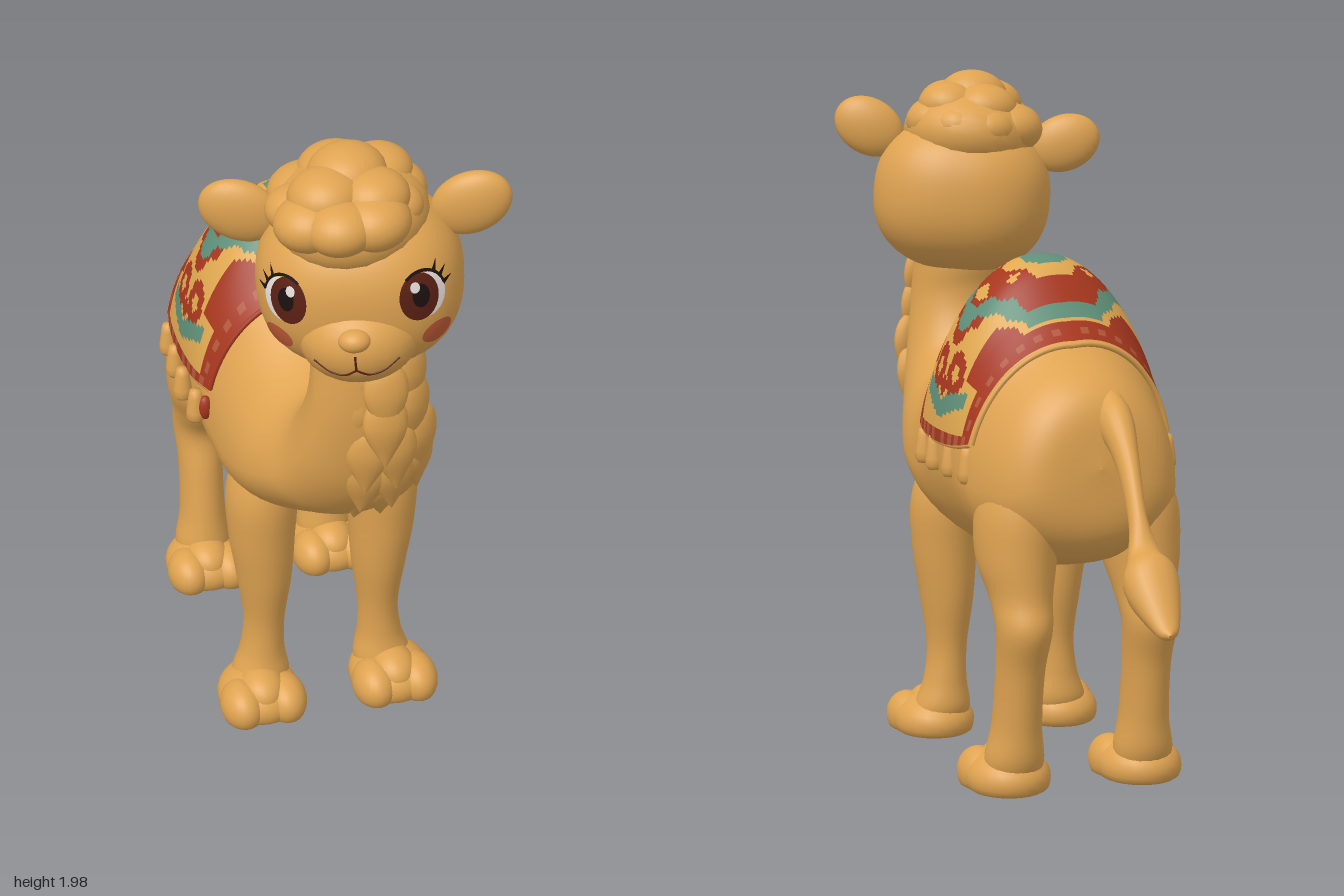
import * as THREE from 'three';

const mat = (name, color, extra = {}) => Object.assign(new THREE.MeshStandardMaterial({ color, ...extra }), { name });
const V = (x, y, z) => new THREE.Vector3(x, y, z);

// Sections are [topZ, topY, bottomZ, bottomY, halfWidth, centreX]; k is where the widest point lies
function skin(sections, k = 0.5) {
  const tops = new THREE.CatmullRomCurve3(sections.map(s => V(s[5] || 0, s[1], s[0])), false, 'catmullrom', 0.5);
  const bots = new THREE.CatmullRomCurve3(sections.map(s => V(s[4], s[3], s[2])), false, 'catmullrom', 0.5);
  const frame = t => {
    const a = tops.getPoint(t), b = bots.getPoint(t);
    const x = a.x, w = Math.max(b.x, 0.002);
    a.x = b.x = x;
    return { a, b, w, c: b.clone().lerp(a, k) };
  };
  const point = (t, ang, lift = 0) => {
    const { a, b, w, c } = frame(t);
    const co = Math.cos(ang), axis = co > 0 ? a.sub(c) : c.clone().sub(b);
    axis.setLength(axis.length() + lift);
    return c.addScaledVector(axis, co).add(V((w + lift) * Math.sin(ang), 0, 0));
  };
  return { frame, point };
}

function loft(sections, k, rings = 40, sides = 32) {
  const { point } = skin(sections, k), pos = [], idx = [];
  for (let i = 0; i <= rings; i++)
    for (let j = 0; j < sides; j++) pos.push(...point(i / rings, (j / sides) * Math.PI * 2).toArray());
  for (let i = 0; i < rings; i++)
    for (let j = 0; j < sides; j++) {
      const n = (j + 1) % sides, a = i * sides + j, d = i * sides + n;
      idx.push(a, a + sides, d, a + sides, d + sides, d);
    }
  return build(pos, idx);
}

function build(pos, idx) {
  const g = new THREE.BufferGeometry();
  g.setAttribute('position', new THREE.Float32BufferAttribute(pos, 3));
  g.setIndex(idx);
  g.computeVertexNormals();
  return g;
}

// Torso and neck, from rump to head
const TORSO = [
  [-0.512, 0.945, -0.512, 0.94, 0.003], [-0.485, 1.1, -0.5, 0.76, 0.17], [-0.42, 1.18, -0.42, 0.67, 0.255],
  [-0.3, 1.25, -0.28, 0.63, 0.3], [-0.21, 1.335, -0.2, 0.615, 0.308], [-0.11, 1.445, -0.1, 0.605, 0.312],
  [0, 1.472, 0, 0.6, 0.312], [0.1, 1.41, 0.1, 0.6, 0.308], [0.2, 1.29, 0.2, 0.61, 0.298],
  [0.32, 1.2, 0.32, 0.635, 0.288], [0.42, 1.15, 0.46, 0.7, 0.272], [0.5, 1.14, 0.6, 0.78, 0.24],
  [0.565, 1.18, 0.72, 0.86, 0.205], [0.6, 1.25, 0.81, 1.0, 0.175], [0.61, 1.32, 0.85, 1.2, 0.15],
  [0.6, 1.4, 0.85, 1.36, 0.14], [0.62, 1.48, 0.83, 1.48, 0.135]];
const FRONT_LEG = [
  [0.42, 0.92, 0.24, 0.92, 0.05, 0.15], [0.46, 0.74, 0.22, 0.74, 0.1, 0.174], [0.455, 0.58, 0.235, 0.58, 0.096, 0.178],
  [0.44, 0.43, 0.25, 0.43, 0.08, 0.172], [0.415, 0.28, 0.275, 0.28, 0.06, 0.172], [0.415, 0.17, 0.275, 0.17, 0.065, 0.178],
  [0.43, 0.09, 0.27, 0.09, 0.085, 0.185], [0.42, 0.04, 0.29, 0.04, 0.08, 0.19]];
const HIND_LEG = [
  [-0.24, 1.0, -0.42, 1.0, 0.05, 0.15], [-0.17, 0.83, -0.465, 0.83, 0.115, 0.172], [-0.18, 0.68, -0.47, 0.68, 0.112, 0.185],
  [-0.255, 0.57, -0.475, 0.57, 0.088, 0.185], [-0.31, 0.48, -0.497, 0.48, 0.078, 0.188], [-0.29, 0.36, -0.46, 0.36, 0.068, 0.19],
  [-0.265, 0.2, -0.435, 0.2, 0.07, 0.192], [-0.25, 0.1, -0.425, 0.1, 0.085, 0.195], [-0.26, 0.04, -0.4, 0.04, 0.075, 0.195]];
const TAIL = [
  [-0.998, 0.58, -0.995, 0.568, 0.005, -0.01], [-0.965, 0.615, -0.95, 0.56, 0.036, -0.015], [-0.86, 0.75, -0.81, 0.61, 0.078, -0.02],
  [-0.79, 0.775, -0.75, 0.7, 0.05, -0.025], [-0.73, 0.855, -0.685, 0.81, 0.026, -0.03], [-0.62, 1.0, -0.57, 0.935, 0.032, -0.045],
  [-0.52, 1.11, -0.47, 1.0, 0.05, -0.05], [-0.4, 1.17, -0.38, 0.98, 0.06, -0.05]];

// Woven pattern: u runs along the back (-1..1), s from crest (0) to hem (1)
const [RED, TEAL, TAN, FADED] = [0, 1, 2, 3];
function weave(u, s) {
  u = Math.abs(u);
  if (u > 0.76 || s > 0.95) {
    const fleck = u > 0.84 && u < 0.93 && Math.floor(s * 15) % 2;
    return fleck || (s > 0.95 && Math.floor(u * 9) % 2) ? FADED : RED;
  }
  const r = Math.max(u * 0.85, u * 0.5 + s) + 0.015 * Math.cos(u * 30);
  if (r < 0.16) return TEAL;
  if (r < 0.27) return TAN;
  if (r < 0.5) return u + Math.abs(s - 0.4) * 3 < 0.16 || Math.abs(u - 0.22) + Math.abs(s - 0.24) < 0.05 ? TAN : RED;
  if (r < 0.61) return TEAL;
  if (r < 0.67) return u < 0.3 ? RED : TAN;
  if (Math.abs(s - (0.885 - 0.14 * u)) < 0.036 && u < 0.62) return TEAL;
  if (Math.abs(Math.hypot(u - 0.25, (s - 0.74) * 2.2) - 0.14) < 0.06) return RED;
  if (u + Math.abs(s - 0.8) * 4 < 0.16) return RED;
  return u > 0.5 && s < 0.72 ? RED : TAN;
}

export function createModel() {
  const two = { side: THREE.DoubleSide };
  const fur = mat('fur', 0xdfa351), brown = mat('eyeBrown', 0x5a2014), white = mat('eyeWhite', 0xe6e0dc);
  const black = mat('lashBlack', 0x1c1010), blush = mat('blush', 0xc45c38);
  const cloth = [mat('clothRed', 0xa6361e, two), mat('clothTeal', 0x5f8f78, two), mat('clothTan', 0xe0a850, two), mat('clothFadedRed', 0xb0573a, two)];
  const root = new THREE.Group();
  root.name = 'camel';
  const add = (parent, name, geo, material) => {
    const m = new THREE.Mesh(geo, material);
    m.name = name;
    parent.add(m);
    return m;
  };
  const blob = (parent, name, [x, y, z], [rx, ry, rz], material = fur) => {
    const m = add(parent, name, new THREE.SphereGeometry(1, 24, 18), material);
    m.position.set(x, y, z);
    m.scale.set(rx, ry, rz);
    return m;
  };

  add(root, 'body', loft(TORSO, 0.38, 96, 44), fur);
  add(root, 'tail', loft(TAIL, 0.5, 48, 20), fur);

  // Legs with padded two-toed feet, flat underneath
  const footPart = (name, x, y, z, rx, ry, rz) => {
    const g = new THREE.SphereGeometry(1, 24, 18).scale(rx, ry, rz).translate(x, y, z), p = g.attributes.position;
    for (let i = 0; i < p.count; i++) p.setY(i, Math.max(p.getY(i), 0));
    g.computeVertexNormals();
    add(root, name, g, fur);
  };
  for (const side of [-1, 1])
    for (const [name, secs, fz] of [['frontLeg', FRONT_LEG, 0.4], ['hindLeg', HIND_LEG, -0.285]]) {
      add(root, name, loft(secs.map(s => [...s.slice(0, 5), s[5] * side]), 0.5, 44, 28), fur);
      const x = 0.2 * side;
      footPart('footPad', x, 0.035, fz - 0.01, 0.122, 0.085, 0.135);
      for (const t of [-1, 1]) footPart('toe', x + t * 0.064, 0.04, fz + 0.045, 0.064, 0.072, 0.09);
      footPart('instep', x, 0.07, fz + 0.02, 0.07, 0.065, 0.09);
    }

  // Blanket following the hump, narrowing towards the hems and lying slightly askew
  const torso = skin(TORSO, 0.38), nu = 52, ns = 136, pos = [], lists = [[], [], [], []];
  const onBlanket = (u, s, lift = 0.016) => {
    const t = (5.65 + 2.6 * u * (1 - 0.14 * Math.abs(s)) - 0.2 * s) / 16, { a, c } = torso.frame(t);
    const hem = 0.965 + 0.02 * u * u;
    return torso.point(t, s * Math.acos((hem - c.y) / (a.y - c.y)), lift);
  };
  for (let i = 0; i <= nu; i++)
    for (let j = 0; j <= ns; j++) pos.push(...onBlanket(i / nu * 2 - 1, j / ns * 2 - 1).toArray());
  for (let i = 0; i < nu; i++)
    for (let j = 0; j < ns; j++) {
      const a = i * (ns + 1) + j, b = a + ns + 1;
      lists[weave((i + 0.5) / nu * 2 - 1, Math.abs((j + 0.5) / ns * 2 - 1))].push(a, b, a + 1, b, b + 1, a + 1);
    }
  const blanket = build(pos, lists.flat());
  let start = 0;
  lists.forEach((l, i) => { blanket.addGroup(start, l.length, i); start += l.length; });
  add(root, 'blanket', blanket, cloth);

  // Piping around the blanket, red in front
  const piping = (f, material) => {
    const pts = Array.from({ length: 25 }, (_, i) => f(i / 12 - 1));
    add(root, 'piping', new THREE.TubeGeometry(new THREE.CatmullRomCurve3(pts), 60, 0.008, 8), material);
  };
  piping(q => onBlanket(1, q, 0.008), cloth[0]);
  piping(q => onBlanket(-1.02, q, 0.008), fur);
  for (const e of [-1, 1]) piping(q => onBlanket(q, e, 0.008), fur);

  // Tassels along each hem, with one red knot
  const bell = [[0.001, 0.05], [0.016, 0.047], [0.021, 0.025], [0.027, -0.02], [0.028, -0.04], [0.019, -0.052], [0.001, -0.054]];
  for (const side of [-1, 1])
    for (const z of [0.14, 0.015, -0.11, -0.235]) {
      const m = add(root, 'tassel', new THREE.LatheGeometry(bell.map(p => new THREE.Vector2(...p)).reverse(), 16), fur);
      m.position.set(side * (0.325 - Math.abs(z) * 0.07) - 0.012, 0.925, z + (side < 0 ? 0.04 : 0));
    }
  blob(root, 'redKnot', [-0.303, 0.92, 0.195], [0.022, 0.038, 0.02], cloth[0]);

  // Shaggy chest locks pointing down
  const lockShape = [[0.001, -0.11], [0.02, -0.07], [0.045, -0.015], [0.052, 0.03], [0.04, 0.08], [0.001, 0.12]];
  const lockGeo = new THREE.LatheGeometry(new THREE.SplineCurve(lockShape.map(p => new THREE.Vector2(...p))).getPoints(16), 16);
  const rows = [[1.3, 0.86, 3, 0.08, -0.12], [1.2, 0.86, 3, 0.09, -0.06], [1.09, 0.835, 4, 0.12, 0], [1.0, 0.805, 4, 0.12, 0.12], [0.92, 0.745, 4, 0.1, 0.35]];
  for (const [y, z, n, half, tilt] of rows)
    for (let i = 0; i < n; i++) {
      const q = i / (n - 1) * 2 - 1, m = add(root, 'chestLock', lockGeo, fur);
      m.position.set(0.03 + q * half, y + 0.03 * Math.abs(q), z - 0.05 * q * q);
      m.rotation.set(tilt, q * 0.6, q * 0.12);
      m.scale.set(1.2, 1, 0.6);
    }

  // Head, turned and tipped a little; the skull is a slightly squared ellipsoid
  const head = new THREE.Group();
  head.name = 'head';
  head.position.set(0, 1.6, 0.7);
  head.rotation.set(0, -0.34, 0.09, 'ZYX');
  root.add(head);
  const R = V(0.272, 0.235, 0.24), E = 2.35;
  const power = v => Math.abs(v) ** E;
  const toSkull = (p, lift = 0) => p.multiplyScalar((1 + lift) / (power(p.x / R.x) + power(p.y / R.y) + power(p.z / R.z)) ** (1 / E));
  const reshape = (geo, rule) => {
    const p = geo.attributes.position;
    for (let i = 0; i < p.count; i++) p.setXYZ(i, ...rule(V().fromBufferAttribute(p, i)).toArray());
    geo.computeVertexNormals();
    return geo;
  };
  add(head, 'skull', reshape(new THREE.SphereGeometry(0.25, 48, 36), p => toSkull(p)), fur);
  blob(head, 'muzzle', [0, -0.09, 0.15], [0.16, 0.125, 0.138]);
  blob(head, 'nose', [0, -0.04, 0.268], [0.042, 0.03, 0.035]);
  for (const side of [-1, 1]) {
    const ear = blob(head, 'ear', [0.3 * side, 0.185, -0.025], [0.112, 0.086, 0.045]);
    ear.rotation.z = 0.45 * side;
  }

  // Curly topknot of broad, overlapping locks
  blob(head, 'woolCap', [-0.01, 0.19, 0.0], [0.205, 0.14, 0.225]);
  for (let i = 0; i < 9; i++) {
    const a = i / 9 * Math.PI * 2, r = 0.092 + 0.01 * Math.sin(i * 2.4);
    blob(head, 'curl', [-0.02 + 0.125 * Math.sin(a), 0.225 + 0.015 * Math.cos(a), 0.02 + 0.155 * Math.cos(a)], [r, r * 0.75, r]);
  }
  for (const [x, y, z, r] of [[-0.06, 0.285, 0.09, 0.1], [0.06, 0.275, 0.08, 0.095], [-0.01, 0.305, 0.01, 0.105], [-0.05, 0.27, -0.07, 0.1], [0.06, 0.27, -0.06, 0.095]])
    blob(head, 'curl', [x, y, z], [r, r * 0.75, r]);

  // Lay a flat shape onto the curved face
  const patch = (name, geo, side, cx, cy, lift, material) => {
    const c = V(cx * side, cy, R.z * (1 - power(cx / R.x) - power(cy / R.y)) ** (1 / E));
    const n = V(...['x', 'y', 'z'].map(k => Math.sign(c[k]) * Math.abs(c[k] / R[k]) ** (E - 1) / R[k])).normalize();
    const e1 = V(0, 1, 0).cross(n).normalize(), e2 = n.clone().cross(e1);
    add(head, name, reshape(geo, p => toSkull(c.clone().addScaledVector(e1, p.x).addScaledVector(e2, p.y), lift)), material);
  };
  const oval = (rx, ry, ox = 0, oy = 0) => new THREE.RingGeometry(0, 1, 28, 5).scale(rx, ry, 1).translate(ox, oy, 0);
  for (const side of [-1, 1]) {
    const eye = (name, geo, lift, m) => patch(name, geo, side, 0.178, 0.045, lift, m);
    eye('eyeWhite', oval(0.062, 0.062, 0.01 * side, -0.002), 0.012, white);
    eye('iris', oval(0.056, 0.066, -0.012 * side), 0.02, brown);
    eye('pupil', oval(0.024, 0.032, -0.01 * side, 0.004), 0.027, black);
    eye('eyeShine', oval(0.013, 0.015, -0.024 * side, 0.03), 0.034, white);
    const arc0 = side > 0 ? 0.2 : 0.9;
    eye('lashLine', new THREE.RingGeometry(0.064, 0.073, 20, 1, arc0, 2.04), 0.024, black);
    for (const a of [0.25, 0.6, 0.95]) {
      const g = new THREE.CircleGeometry(0.03, 3).scale(1, 0.28, 1).translate(0.08, 0, 0).rotateZ(side > 0 ? a : Math.PI - a);
      eye('lash', g, 0.03, black);
    }
    patch('cheekBlush', oval(0.05, 0.037), side, 0.205, -0.08, 0.012, blush);
  }

  // Smile and lip crease
  const onMuzzle = (x, y) => V(x, y, 0.15 + 0.138 * Math.sqrt(1 - (x / 0.16) ** 2 - ((y + 0.09) / 0.125) ** 2));
  const line = (name, pts) => add(head, name,
    new THREE.TubeGeometry(new THREE.CatmullRomCurve3(pts.map(p => onMuzzle(...p))), 20, 0.003, 6), brown);
  for (const s of [-1, 1]) line('smile', [[0, -0.12], [0.03 * s, -0.138], [0.065 * s, -0.134], [0.11 * s, -0.105]]);
  line('lipCrease', [[0, -0.12], [0, -0.1], [0, -0.075]]);
  return root;
}
